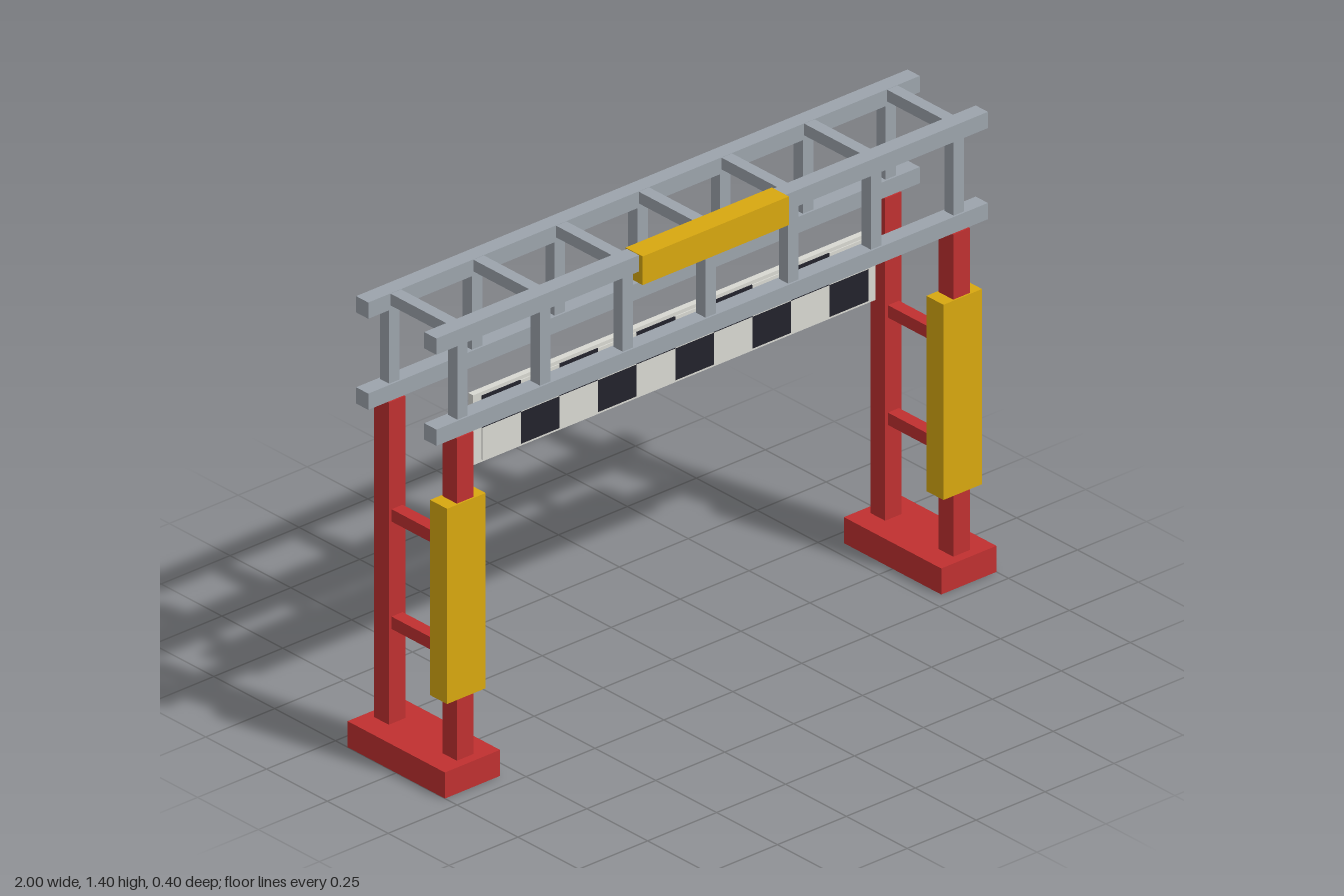
import * as THREE from 'three';

const material = (name, color) => {
  const m = new THREE.MeshStandardMaterial({ color });
  m.name = name;
  return m;
};

export function createModel() {
  const root = new THREE.Group();
  root.name = 'raceGantry';
  const red = material('red', 0xc03030);
  const steel = material('steelGrey', 0x9ca4ac);
  const gold = material('gold', 0xd8a810);
  const white = material('offWhite', 0xd8d8d2);
  const black = material('nearBlack', 0x22222c);

  const group = (name) => {
    const g = new THREE.Group();
    g.name = name;
    root.add(g);
    return g;
  };
  // Box given by its centre and size
  const box = (parent, name, mat, [x, y, z], [w, h, d]) => {
    const mesh = new THREE.Mesh(new THREE.BoxGeometry(w, h, d), mat);
    mesh.name = name;
    mesh.position.set(x, y, z);
    parent.add(mesh);
  };

  // Towers: foot, two posts joined by rungs, padded front post
  for (const side of [-1, 1]) {
    const tower = group(side > 0 ? 'leftTower' : 'rightTower');
    const x = 0.9 * side;
    box(tower, 'foot', red, [x, 0.04, 0], [0.2, 0.08, 0.4]);
    for (const z of [-0.14, 0.14]) box(tower, 'post', red, [x, 0.575, z], [0.06, 0.99, 0.06]);
    for (const y of [0.39, 0.72]) box(tower, 'rung', red, [x, y, 0], [0.04, 0.038, 0.22]);
    box(tower, 'pad', gold, [x, 0.57, 0.14], [0.14, 0.6, 0.07]);
  }

  // Truss: four chords, uprights on both faces, cross struts on top
  const truss = group('truss');
  for (const z of [-0.14, 0.14]) {
    for (const y of [1.095, 1.375]) box(truss, 'chord', steel, [0, y, z], [2, 0.05, 0.05]);
    for (let i = -3; i <= 3; i++) box(truss, 'upright', steel, [i * 0.3, 1.235, z], [0.038, 0.23, 0.038]);
  }
  for (let i = -3; i <= 3; i++) box(truss, 'crossStrut', steel, [i * 0.3, 1.381, 0], [0.038, 0.036, 0.23]);
  box(truss, 'signPlate', gold, [0, 1.358, 0.145], [0.53, 0.088, 0.07]);

  // Hanging banner with chequers on both faces
  const banner = group('banner');
  box(banner, 'bannerBoard', white, [0, 0.9625, 0], [1.46, 0.215, 0.02]);
  for (let row = 0; row < 2; row++) {
    for (let col = 0; col < 10; col++) {
      const dark = (row + col) % 2 === 1;
      for (const s of [-1, 1]) {
        box(banner, dark ? 'darkSquare' : 'lightSquare', dark ? black : white,
          [-0.63 + col * 0.14, 0.912 + row * 0.098, s * 0.0115], [0.14, 0.098, 0.004]);
      }
    }
  }
  // Top row starts with a dark square at -x
  return root;
}
